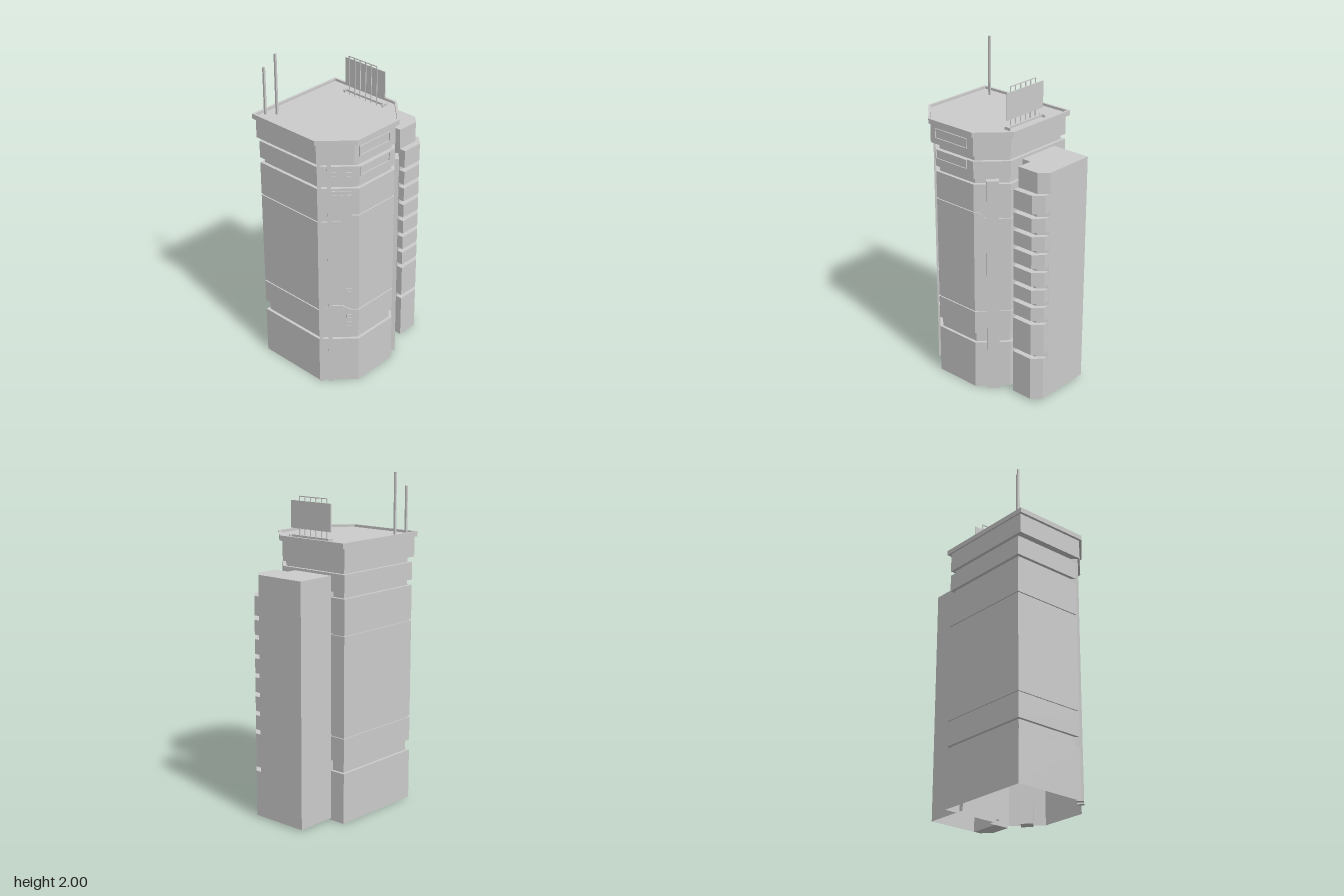
import * as THREE from 'three';

const mat = new THREE.MeshStandardMaterial({ color: 0xcccccc, flatShading: true, side: THREE.DoubleSide });

// Plans are [x, z] corners, running front-left, front-right, then round the back.
const BODY = [[-0.315, 0.41], [0.14, 0.41], [0.19, 0.36], [0.235, 0.315], [0.275, 0.275], [0.305, 0.245],
  [0.305, -0.05], [0.285, -0.07], [0.255, -0.1], [0.155, -0.2], [-0.315, -0.2]];
const CROWN = [[-0.315, 0.43], [0.155, 0.43], [0.305, 0.285], [0.305, -0.05], [0.155, -0.2], [-0.315, -0.2]];
const RIM = [[-0.325, 0.447], [0.16, 0.447], [0.325, 0.28], [0.325, -0.06], [0.16, -0.225], [-0.325, -0.225]];
const TOWER = [[-0.215, -0.17], [0.06, -0.17], [0.06, -0.26], [0.16, -0.26], [0.16, -0.4], [0.11, -0.45], [-0.215, -0.45]];
const BAY = [[0.1, -0.26], [0.2, -0.26], [0.2, -0.395], [0.146, -0.449], [0.1, -0.449]];

// A ring of points: plan moved inwards by d, at height y, with optional rise per corner
function ring(plan, y, d = 0, rise = () => 0) {
  const n = plan.length;
  const normal = (a, b) => new THREE.Vector2(a[1] - b[1], b[0] - a[0]).normalize();
  return plan.map((p, i) => {
    const n1 = normal(plan[(i + n - 1) % n], p), n2 = normal(p, plan[(i + 1) % n]);
    const k = d / (1 + n1.dot(n2));
    return new THREE.Vector3(p[0] - (n1.x + n2.x) * k, y + rise(i), p[1] - (n1.y + n2.y) * k);
  });
}

// Walls between successive rings, closed on top
function loft(rings) {
  const pts = [];
  for (let r = 0; r + 1 < rings.length; r++) {
    const lo = rings[r], hi = rings[r + 1];
    lo.forEach((a, i) => {
      const j = (i + 1) % lo.length;
      pts.push(a, lo[j], hi[j], a, hi[j], hi[i]);
    });
  }
  const top = rings[rings.length - 1];
  const flat = top.map(p => new THREE.Vector2(p.x, -p.z));
  for (const t of THREE.ShapeUtils.triangulateShape(flat, [])) pts.push(...t.map(i => top[i]));
  const g = new THREE.BufferGeometry().setFromPoints(pts);
  g.computeVertexNormals();
  return g;
}

export function createModel() {
  const model = new THREE.Group();
  const add = (name, geo, x = 0, y = 0, z = 0, turn = 0) => {
    const m = new THREE.Mesh(geo, mat);
    m.name = name;
    m.position.set(x, y, z);
    m.rotation.y = turn;
    model.add(m);
    return m;
  };
  const box = (name, w, h, d, x, y, z, turn) => add(name, new THREE.BoxGeometry(w, h, d), x, y, z, turn);

  // Main body: stacked tiers, deep grooves and two thin stepped seams
  const rings = [];
  const groove = (y0, y1, d, rise) => rings.push(
    ring(BODY, y0, 0, rise), ring(BODY, y0, d, rise), ring(BODY, y1, d, rise), ring(BODY, y1, 0, rise));
  rings.push(ring(BODY, 0));
  groove(0.305, 0.37, 0.018);
  groove(0.515, 0.525, 0.008, i => (i === 2 || i === 3 ? 0.03 : 0));
  groove(1.117, 1.127, 0.008, i => (i >= 4 && i <= 7 ? 0.042 : 0));
  groove(1.332, 1.365, 0.02);
  rings.push(ring(BODY, 1.47), ring(BODY, 1.47, 0.02), ring(BODY, 1.51, 0.02));
  add('mainBody', loft(rings));

  // Crown with overhanging rim and sunken roof
  add('crown', loft([ring(CROWN, 1.5, 0.05), ring(CROWN, 1.5), ring(CROWN, 1.62), ring(RIM, 1.62),
    ring(RIM, 1.65), ring(RIM, 1.65, 0.014), ring(RIM, 1.635, 0.014)]));

  // Rear tower
  add('rearTower', loft([ring(TOWER, 0.01), ring(TOWER, 1.455)]));

  // Stack of bays on the tower side, separated by narrow gaps
  const bayShape = new THREE.Shape(BAY.map(p => new THREE.Vector2(p[0], -p[1])));
  const gapTops = [1.217, 1.104, 0.991, 0.878, 0.765, 0.652, 0.54, 0.312];
  let top = 1.33;
  for (const gap of [...gapTops, 0.01]) {
    const h = top - gap;
    const bay = add('towerBay', new THREE.ExtrudeGeometry(bayShape, { depth: h, bevelEnabled: false }), 0, gap, 0);
    bay.rotation.x = -Math.PI / 2;
    top = gap - 0.026;
  }

  // Pilasters on the front corner and the wide pier on the rear bevel
  const q = Math.PI / 4;
  box('cornerPilaster', 0.022, 1.5, 0.04, 0.143, 0.75, 0.397, q);
  box('cornerPilaster', 0.022, 1.5, 0.04, 0.183, 0.75, 0.36, q);
  box('rearPier', 0.072, 1.36, 0.07, 0.225, 0.68, -0.122, 3 * q);

  // Rectangular frame with a recessed pane, facing +z before turning
  const frame = (name, w, h, t, depth, x, y, z, turn) => {
    const shape = new THREE.Shape([[-w, -h], [w, -h], [w, h], [-w, h]].map(p => new THREE.Vector2(p[0] / 2, p[1] / 2)));
    const a = w / 2 - t, b = h / 2 - t;
    shape.holes.push(new THREE.Path([[-a, -b], [-a, b], [a, b], [a, -b]].map(p => new THREE.Vector2(...p))));
    add(name, new THREE.ExtrudeGeometry(shape, { depth, bevelEnabled: false }), x, y, z, turn);
  };
  for (const [z, y] of [[0.345, 1.42], [0.285, 1.42], [0.34, 1.302], [0.313, 1.302], [0.285, 1.302],
    [0.285, 0.655], [0.285, 0.47], [0.285, 0.415]]) {
    frame('smallWindow', 0.034, 0.03, 0.006, 0.006, 0.55 - z, y, z, q);
  }
  frame('crownWindow', 0.25, 0.062, 0.006, 0.007, 0.305, 1.565, 0.123, 2 * q);
  frame('upperWindow', 0.245, 0.06, 0.006, 0.007, 0.305, 1.44, 0.12, 2 * q);

  // Roof antennas
  box('antenna', 0.012, 0.285, 0.012, -0.29, 1.7775, 0.378);
  box('antenna', 0.012, 0.365, 0.012, -0.243, 1.8175, 0.333);

  // Billboard: panel, posts, top bar and foot rails
  box('billboardPanel', 0.305, 0.16, 0.005, -0.017, 1.77, -0.149);
  for (let i = 0; i < 6; i++) box('billboardPost', 0.005, 0.24, 0.005, -0.124 + i * 0.0422, 1.755, -0.132);
  box('billboardTopBar', 0.216, 0.005, 0.005, -0.0185, 1.873, -0.132);
  box('billboardFootRail', 0.305, 0.012, 0.012, -0.017, 1.646, -0.15);
  for (const x of [-0.163, 0.13]) box('billboardFoot', 0.009, 0.016, 0.042, x, 1.643, -0.151);

  return model;
}
